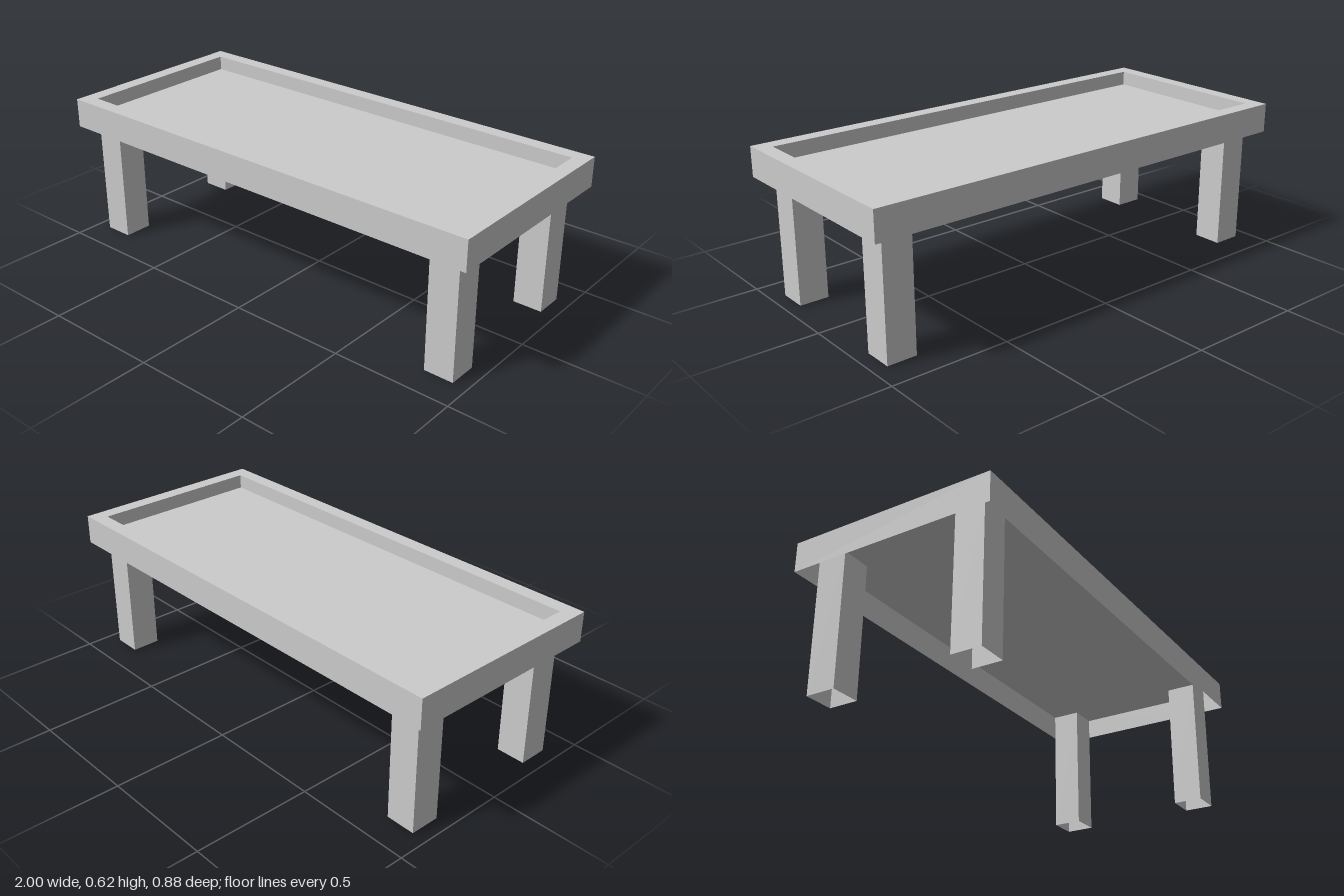
import * as THREE from 'three';

const material = new THREE.MeshStandardMaterial({ color: 0xcccccc, flatShading: true, side: THREE.DoubleSide });

// Thin shell through rectangular loops [halfX, y, halfZ], optionally closed at the last loop
function rectShell(loops, capLast) {
  const rings = loops.map(([x, y, z]) => [[x, y, z], [x, y, -z], [-x, y, -z], [-x, y, z]]);
  const positions = [];
  const quad = (a, b, c, d) => positions.push(...a, ...b, ...c, ...a, ...c, ...d);
  for (let r = 0; r < rings.length - 1; r++) {
    for (let i = 0; i < 4; i++) {
      const j = (i + 1) % 4;
      quad(rings[r][i], rings[r][j], rings[r + 1][j], rings[r + 1][i]);
    }
  }
  if (capLast) quad(...rings[rings.length - 1]);
  const geometry = new THREE.BufferGeometry();
  geometry.setAttribute('position', new THREE.Float32BufferAttribute(positions, 3));
  geometry.computeVertexNormals();
  return geometry;
}

export function createModel() {
  const group = new THREE.Group();
  const top = 0.625, floor = 0.5625, bottom = 0.5;
  const halfX = 1, halfZ = 0.4375, rim = 0.0625, legSize = 0.125;

  // Tray top: outer wall, rim, inner wall and sunken floor, open underneath
  const tray = new THREE.Mesh(rectShell([
    [halfX, bottom, halfZ],
    [halfX, top, halfZ],
    [halfX - rim, top, halfZ - rim],
    [halfX - rim, floor, halfZ - rim],
  ], true), material);
  tray.name = 'trayTop';
  group.add(tray);

  // Four hollow square legs reaching up to the tray floor
  const legGeometry = rectShell([
    [legSize / 2, 0, legSize / 2],
    [legSize / 2, floor, legSize / 2],
  ], false);
  const inset = rim + legSize / 2;
  for (const [zName, sz] of [['front', 1], ['back', -1]]) {
    for (const [xName, sx] of [['Left', 1], ['Right', -1]]) {
      const leg = new THREE.Mesh(legGeometry, material);
      leg.name = `${zName}${xName}Leg`;
      leg.position.set(sx * (halfX - inset), 0, sz * (halfZ - inset));
      group.add(leg);
    }
  }
  return group;
}
